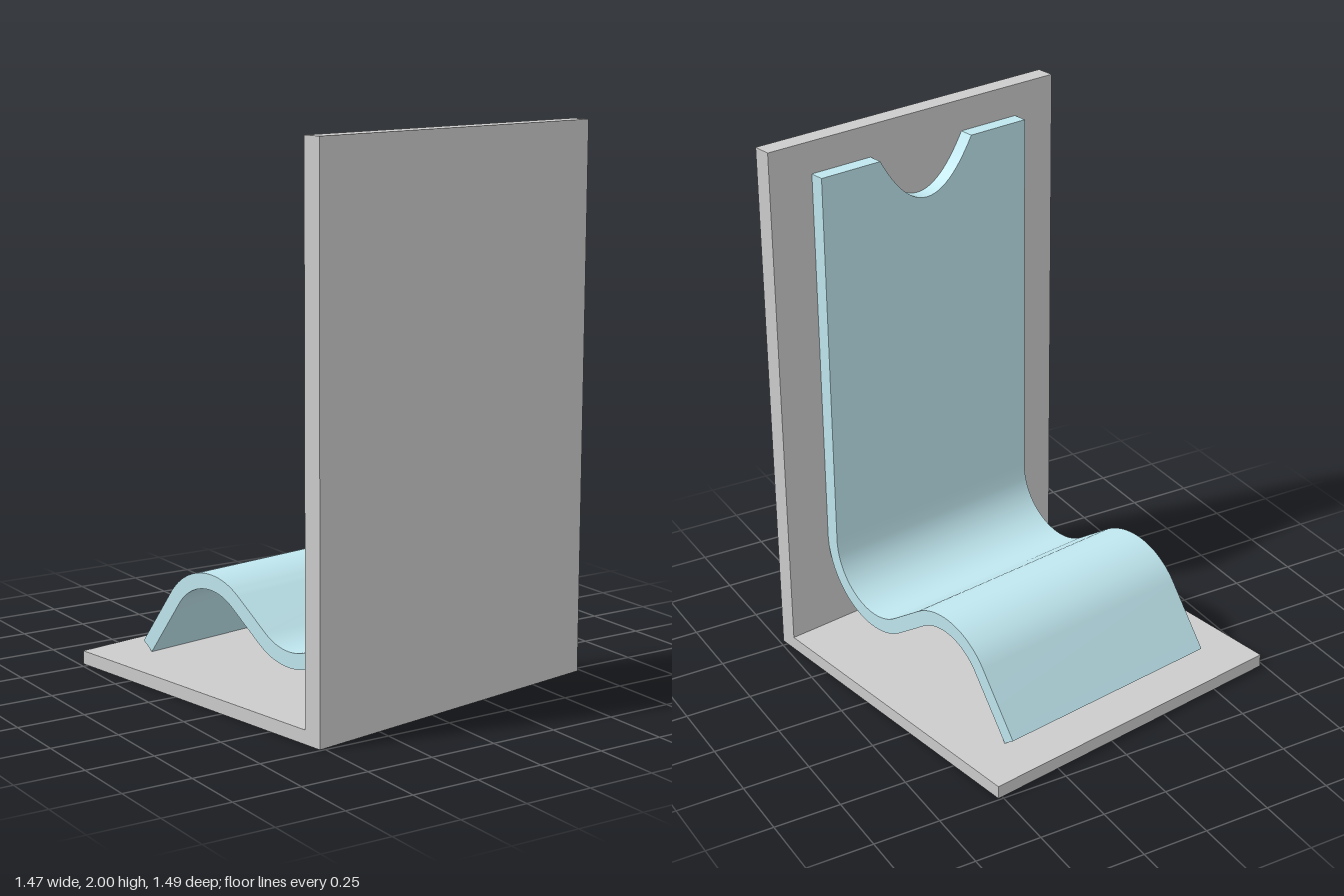
import * as THREE from 'three';
import { toCreasedNormals } from 'three/addons/utils/BufferGeometryUtils.js';

const WIDTH = 1.27, DEPTH = 1.29, WALL = 0.072, BASE = 0.05;
const SHEET_W = 0.915, SHEET_T = 0.057, SEAM_Y = 0.4375, SHEET_TOP = 1.88;
const SHEET_Z = DEPTH / 2 - WALL - SHEET_T / 2; // middle of the upright sheet

// Walks along straight runs and arcs; returns points with their headings
function walk(x, y, heading, steps) {
  const out = [{ x, y, heading }];
  for (const { length, radius, turn = 0 } of steps) {
    const n = turn ? Math.ceil(Math.abs(turn) / 0.07) : 1;
    const chord = turn ? 2 * radius * Math.sin(Math.abs(turn) / n / 2) : length;
    for (let i = 0; i < n; i++) {
      heading += turn / n / 2;
      x += chord * Math.cos(heading);
      y += chord * Math.sin(heading);
      heading += turn / n / 2;
      out.push({ x, y, heading });
    }
  }
  return out;
}

export function createModel() {
  const model = new THREE.Group();
  model.name = 'displayStand';
  const grey = new THREE.MeshStandardMaterial({ color: 0xcccccc });
  const blue = new THREE.MeshStandardMaterial({ color: 0xbfe6ee });

  const add = (name, geometry, material, x = 0, y = 0, z = 0) => {
    const mesh = new THREE.Mesh(geometry, material);
    mesh.name = name;
    mesh.position.set(x, y, z);
    model.add(mesh);
  };

  // Upright wall and floor plate
  add('wall', new THREE.BoxGeometry(WIDTH, 2, WALL), grey, 0, 1, (DEPTH - WALL) / 2);
  add('floorPlate', new THREE.BoxGeometry(WIDTH, BASE, DEPTH - WALL), grey, 0, BASE / 2, -WALL / 2);

  // Upright part of the sheet, with a rounded notch in its top edge
  const w = SHEET_W / 2, notch = 0.205;
  const panel = new THREE.Shape();
  panel.moveTo(-w, SEAM_Y);
  panel.lineTo(w, SEAM_Y);
  panel.lineTo(w, SHEET_TOP);
  panel.lineTo(notch, SHEET_TOP);
  panel.quadraticCurveTo(0, SHEET_TOP - 0.37, -notch, SHEET_TOP);
  panel.lineTo(-w, SHEET_TOP);
  const panelGeometry = new THREE.ExtrudeGeometry(panel, { depth: SHEET_T, bevelEnabled: false, curveSegments: 28 });
  add('sheetUpright', toCreasedNormals(panelGeometry, 0.5), blue, 0, 0, SHEET_Z - SHEET_T / 2);

  // Wavy lower part: down into a valley, over a crest, then a straight ramp
  const rise = THREE.MathUtils.degToRad(35), fall = THREE.MathUtils.degToRad(53);
  const path = walk(-SHEET_Z, SEAM_Y, -Math.PI / 2, [
    { radius: 0.2475, turn: Math.PI / 2 + rise },
    { length: 0.178 },
    { radius: 0.2425, turn: -rise - fall },
    { length: 0.272 },
  ]);
  const side = (s) => path.map((p) => new THREE.Vector2(
    p.x - Math.sin(p.heading) * s, p.y + Math.cos(p.heading) * s));
  const wave = new THREE.Shape([...side(-SHEET_T / 2), ...side(SHEET_T / 2).reverse()]);
  const waveGeometry = new THREE.ExtrudeGeometry(wave, { depth: SHEET_W, bevelEnabled: false });
  waveGeometry.translate(0, 0, -w).rotateY(Math.PI / 2);
  add('sheetWave', toCreasedNormals(waveGeometry, 0.5), blue);

  model.rotation.y = 0.17;
  const root = new THREE.Group();
  root.add(model);
  return root;
}
